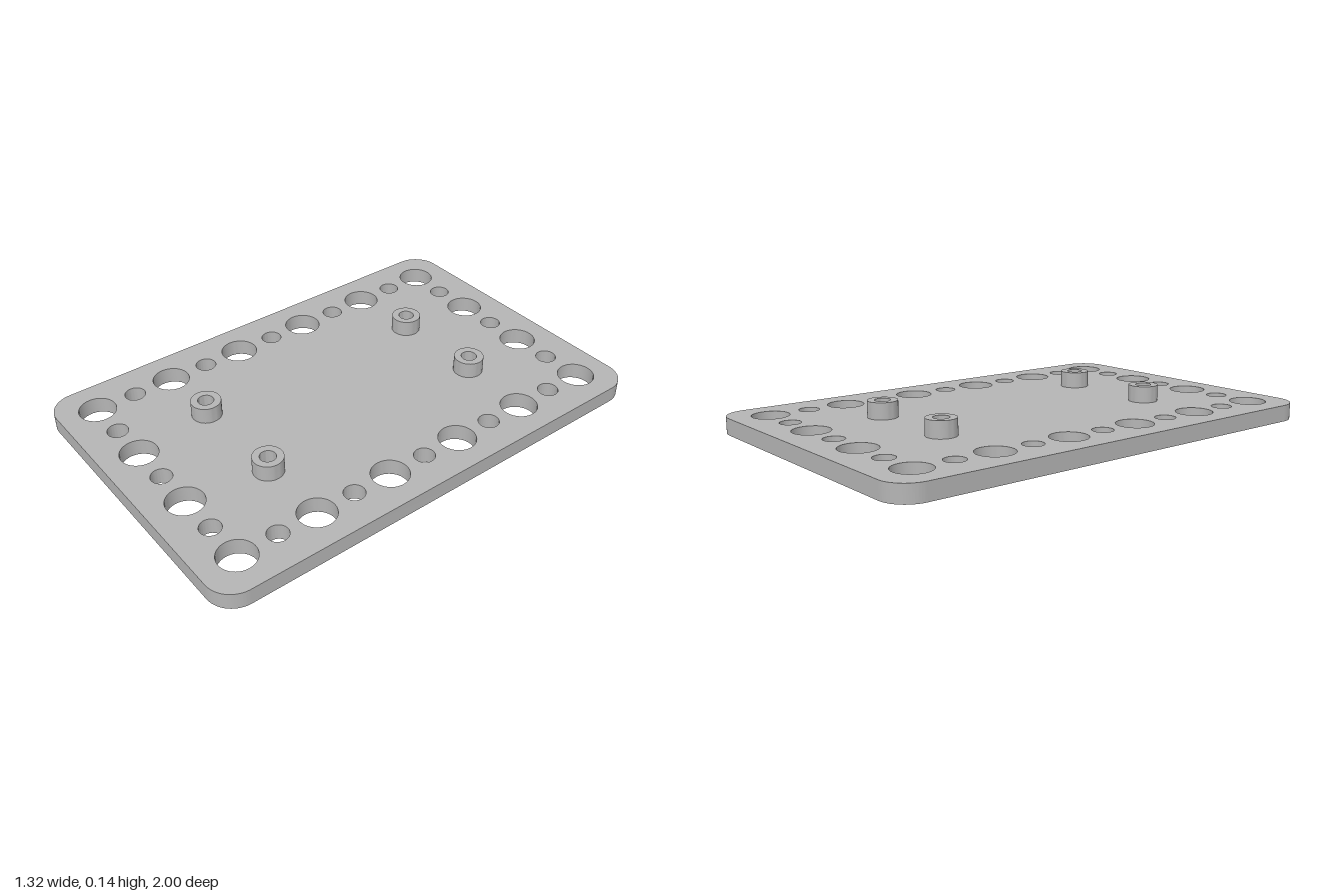
import * as THREE from 'three';
import { toCreasedNormals } from 'three/addons/utils/BufferGeometryUtils.js';

const HALF_W = 0.662, HALF_L = 1, CORNER = 0.11;
const THICK = 0.068, PITCH = 0.16875;
const BIG_R = 0.075, SMALL_R = 0.042;
const POST_R = 0.061, BORE_R = 0.032, POST_H = 0.068;

// x, z of the four standoffs (the front pair is set slightly wider)
const POSTS = [[-0.2, -0.515], [0.2, -0.515], [-0.215, 0.513], [0.215, 0.513]];

function circle(PathType, x, z, r) {
  const path = new PathType();
  path.absarc(x, -z, r, 0, Math.PI * 2, false);
  return path;
}

// Extrude a floor-plan shape upwards, with smooth walls and sharp rims
function extrudeUp(shape, height) {
  const geometry = new THREE.ExtrudeGeometry(shape, { depth: height, bevelEnabled: false, curveSegments: 24 });
  geometry.rotateX(-Math.PI / 2);
  return toCreasedNormals(geometry, Math.PI / 5);
}

function plateShape() {
  const shape = new THREE.Shape();
  const x = HALF_W - CORNER, y = HALF_L - CORNER, q = Math.PI / 2;
  shape.absarc(x, y, CORNER, 0, q, false);
  shape.absarc(-x, y, CORNER, q, 2 * q, false);
  shape.absarc(-x, -y, CORNER, 2 * q, 3 * q, false);
  shape.absarc(x, -y, CORNER, 3 * q, 4 * q, false);
  shape.closePath();

  // Border of alternating large and small holes on an even pitch
  for (let i = -3; i <= 3; i++) {
    for (let j = -5; j <= 5; j++) {
      if (Math.abs(i) !== 3 && Math.abs(j) !== 5) continue;
      const big = i % 2 !== 0 && j % 2 !== 0;
      shape.holes.push(circle(THREE.Path, i * PITCH, j * PITCH, big ? BIG_R : SMALL_R));
    }
  }
  // Standoff bores run through the plate
  for (const [x0, z0] of POSTS) shape.holes.push(circle(THREE.Path, x0, z0, BORE_R));
  return shape;
}

export function createModel() {
  const model = new THREE.Group();
  model.name = 'mountingPlate';
  const grey = new THREE.MeshStandardMaterial({ color: 0xb4b4b4 });
  grey.name = 'grey';

  const plate = new THREE.Mesh(extrudeUp(plateShape(), THICK), grey);
  plate.name = 'plate';
  model.add(plate);

  // Hollow cylindrical standoffs
  const ring = circle(THREE.Shape, 0, 0, POST_R);
  ring.holes.push(circle(THREE.Path, 0, 0, BORE_R));
  const postGeometry = extrudeUp(ring, POST_H);
  POSTS.forEach(([x, z], i) => {
    const post = new THREE.Mesh(postGeometry, grey);
    post.name = ['backRightStandoff', 'backLeftStandoff', 'frontRightStandoff', 'frontLeftStandoff'][i];
    post.position.set(x, THICK, z);
    model.add(post);
  });
  return model;
}
